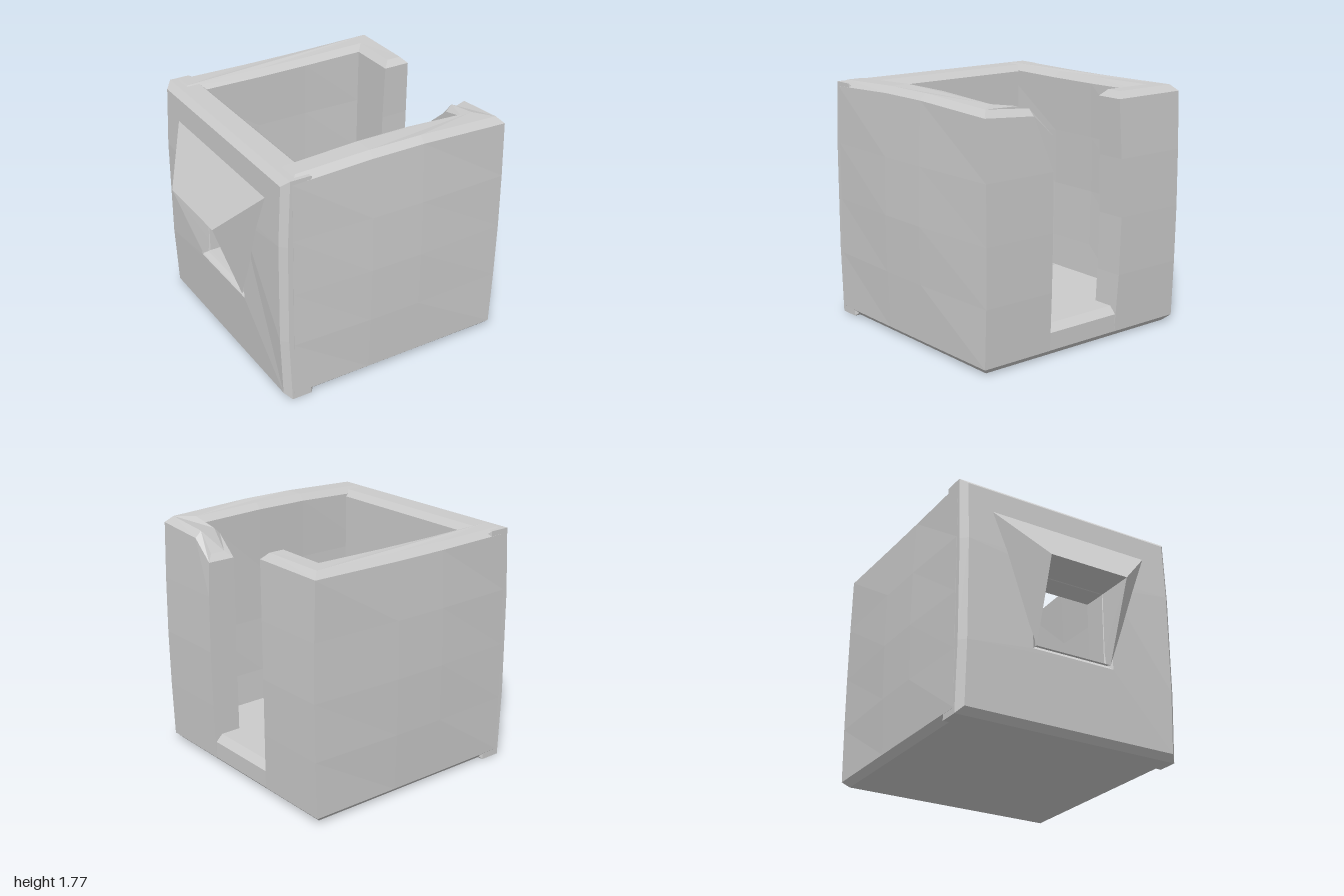
import * as THREE from 'three';

const material = new THREE.MeshStandardMaterial({ color: 0xcccccc, flatShading: true, side: THREE.DoubleSide });
const HEIGHT = 1.74;

function part(name, geometry) {
  const mesh = new THREE.Mesh(geometry, material);
  mesh.name = name;
  return mesh;
}

// Moves every vertex by a rule
function warp(geometry, rule) {
  const pos = geometry.attributes.position, v = new THREE.Vector3();
  for (let i = 0; i < pos.count; i++) {
    rule(v.fromBufferAttribute(pos, i));
    pos.setXYZ(i, v.x, v.y, v.z);
  }
  geometry.computeVertexNormals();
  return geometry;
}

const outline = (points) => new THREE.Shape(points.map(([x, y]) => new THREE.Vector2(x, y)));

// Extrusion with chamfers kept inside its outline and depth
function chamfered(shape, depth, bevel, steps = 1) {
  return new THREE.ExtrudeGeometry(shape, {
    depth: depth - 2 * bevel, steps, bevelEnabled: true, bevelSegments: 1,
    bevelSize: bevel, bevelThickness: bevel, bevelOffset: -bevel,
  }).translate(0, 0, bevel);
}

// Faces from corner points
function faceted(corners, quads) {
  const pts = [];
  for (const f of quads) {
    for (let i = 1; i < f.length - 1; i++) pts.push(corners[f[0]], corners[f[i]], corners[f[i + 1]]);
  }
  const g = new THREE.BufferGeometry().setFromPoints(pts.map((p) => new THREE.Vector3(...p)));
  g.computeVertexNormals();
  return g;
}

const swell = (y) => Math.sin(Math.PI * THREE.MathUtils.clamp(y / HEIGHT, 0, 1));

// Front and back walls with the two door jambs, as one C-shaped plan
function wallsGeometry() {
  const plan = [
    [-0.7, 0.65], [-0.1, 0.64], [0.3, 0.64], [0.77, 0.65], [0.77, 0.47], [0.77, 0.31], [0.97, 0.31],
    [0.97, 0.47], [0.97, 0.87], [0.3, 0.87], [-0.1, 0.87], [-0.7, 0.87],
  ];
  const back = [
    [-0.7, -0.87], [-0.1, -0.87], [0.3, -0.87], [0.97, -0.87], [0.97, -0.29], [0.77, -0.29],
    [0.77, -0.66], [0.3, -0.66], [-0.1, -0.66], [-0.7, -0.66],
  ];
  return [plan, back].map((points) => {
    const g = chamfered(outline(points.map(([x, z]) => [x, -z])), HEIGHT, 0.045, 4).rotateX(-Math.PI / 2);
    return warp(g, (v) => {
      const mid = Math.max(0, Math.cos((v.x - 0.1) * Math.PI / 1.7));
      if (Math.abs(v.z) > 0.5) {
        v.z += Math.sign(v.z) * 0.028 * swell(v.y) * mid;
        if (v.y > 1.6) v.y += (v.z > 0 ? 0.028 : -0.01) * mid;
      }
      if (v.x > 0.9) v.x += 0.02 * swell(v.y);
      // Worn top of the front jamb
      if (v.x > 0.7 && v.z > 0 && v.z < 0.4 && v.y > 1.6) { v.y -= 0.17; }
      else if (v.x > 0.7 && v.z > 0 && v.z < 0.55 && v.y > 1.6) v.y -= 0.03;
      // Jamb leans slightly into the opening at mid height
      if (v.x > 0.7 && v.z < 0 && v.z > -0.4) v.z -= 0.03 * swell(v.y);
    });
  });
}

// Window wall on the -x side
function windowWallGeometry() {
  const shape = outline([
    [-0.87, 0], [0.87, 0], [0.87, 0.5], [0.87, 1.25], [0.87, 1.73],
    [-0.87, 1.73], [-0.87, 1.25], [-0.87, 0.5],
  ]);
  shape.holes.push(new THREE.Path([[-0.28, 0.6], [-0.28, 1.14], [0.28, 1.14], [0.28, 0.6]]
    .map(([x, y]) => new THREE.Vector2(x, y))));
  const g = chamfered(shape, 0.24, 0.045).rotateY(-Math.PI / 2).translate(-0.52, 0, 0);
  return warp(g, (v) => { if (v.x < -0.65) v.x -= 0.03 * swell(v.y); });
}

// Sloping hood around the outside of the window, open below
function hoodGeometry() {
  const corners = [];
  for (const s of [-1, 1]) {
    corners.push([-0.76, 1.53, s * 0.65], [-1, 1.17, s * 0.31], [-0.79, 0.58, s * 0.3],
      [-0.7, 1.14, s * 0.28], [-0.7, 0.6, s * 0.28]);
  }
  return faceted(corners, [
    [0, 1, 6, 5], [0, 2, 1], [5, 6, 7],
    [1, 3, 8, 6], [1, 2, 4, 3], [6, 8, 9, 7], [2, 7, 9, 4],
  ]);
}

// Low sloped step under the window
function stepGeometry() {
  const corners = [], quads = [];
  for (const z of [-0.66, -0.18, 0.18, 0.66]) {
    const end = Math.abs(z) > 0.5;
    corners.push([-0.56, end ? 0.24 : 0.58, z], [-0.07, end ? 0.22 : 0.46, z], [end ? -0.07 : 0.08, 0.22, z]);
  }
  for (let i = 0; i < 3; i++) {
    for (let j = 0; j < 2; j++) {
      const a = i * 3 + j;
      quads.push([a, a + 3, a + 4, a + 1]);
    }
  }
  return faceted(corners, quads);
}

export function createModel() {
  const model = new THREE.Group();
  model.name = 'roofless hut';

  const [front, back] = wallsGeometry();
  model.add(part('frontWall', front), part('backWall', back));
  model.add(part('windowWall', windowWallGeometry()));
  model.add(part('windowHood', hoodGeometry()));

  // Floor with a bevelled door threshold
  const floor = new THREE.ExtrudeGeometry(
    outline([[-0.7, 0], [0.925, 0], [0.97, 0.045], [0.97, 0.17], [0.92, 0.22], [-0.7, 0.22]]),
    { depth: 1.5, bevelEnabled: false },
  ).translate(0, 0, -0.75);
  model.add(part('floor', floor));
  model.add(part('innerStep', stepGeometry()));
  return model;
}
